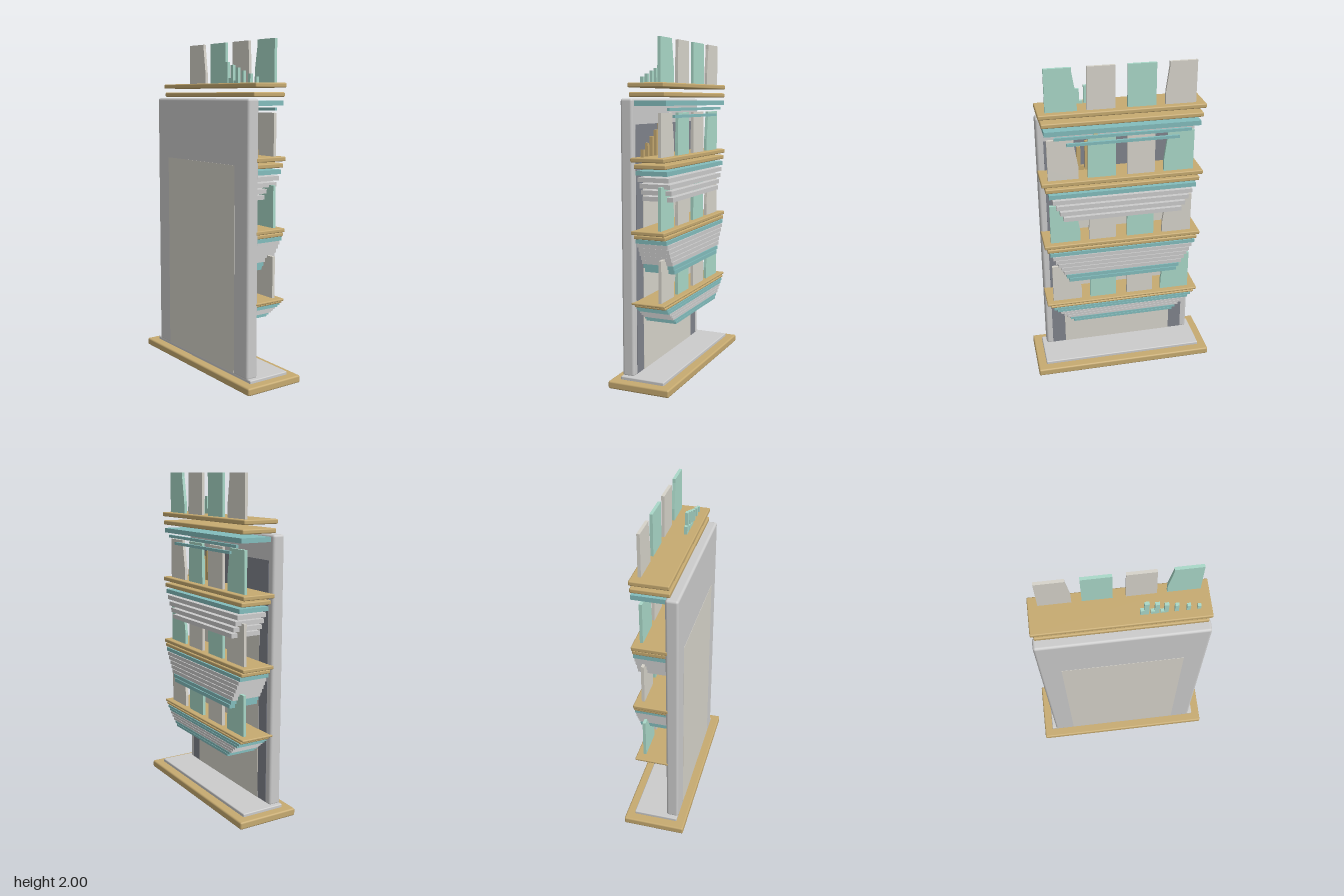
import * as THREE from 'three';
import { RoundedBoxGeometry } from 'three/addons/geometries/RoundedBoxGeometry.js';

const mat = (color) => new THREE.MeshStandardMaterial({ color });
const gold = mat(0xc6aa70), teal = mat(0x83bdbd), mint = mat(0xa9d8c8);
const beige = mat(0xd6d3ca), grey = mat(0xcccccc), dark = mat(0x80838c);

// Box given by its lower and upper corners, with an optional edge radius
function slab(name, material, [x0, y0, z0], [x1, y1, z1], radius = 0) {
  const size = [x1 - x0, y1 - y0, z1 - z0];
  const geometry = radius
    ? new RoundedBoxGeometry(...size, 2, radius)
    : new THREE.BoxGeometry(...size);
  const mesh = new THREE.Mesh(geometry, material);
  mesh.position.set((x0 + x1) / 2, (y0 + y1) / 2, (z0 + z1) / 2);
  mesh.name = name;
  return mesh;
}

// Upright leaflet: bottom edge x0..x1, top edge t0..t1
function leaflet(material, [x0, x1, t0, t1], y, height) {
  const shape = new THREE.Shape();
  shape.moveTo(x0, 0);
  shape.lineTo(x1, 0);
  shape.lineTo(x1, height * 0.3);
  shape.lineTo(t1, height * 0.9);
  shape.lineTo(t1, height);
  shape.lineTo(t0, height);
  shape.lineTo(t0, height * 0.9);
  shape.lineTo(x0, height * 0.3);
  const mesh = new THREE.Mesh(
    new THREE.ExtrudeGeometry(shape, { depth: 0.018, bevelEnabled: false }), material);
  mesh.position.set(0, y, -0.092);
  mesh.name = 'leaflet';
  return mesh;
}

// Row of four leaflets in alternating colours
function leafletRow(y, firstIsMint) {
  const row = new THREE.Group();
  row.name = 'leafletRow';
  const outlines = [
    [-0.43, -0.25, -0.43, -0.27], [-0.195, -0.03, -0.195, -0.03],
    [0.04, 0.205, 0.04, 0.2], [0.26, 0.44, 0.285, 0.44],
  ];
  outlines.forEach((o, i) =>
    row.add(leaflet((i % 2 === 0) === firstIsMint ? mint : beige, o, y, 0.25)));
  return row;
}

// Six slim sticks that get shorter towards the left side
function sticks(material, y, tallest, shortest) {
  const group = new THREE.Group();
  group.name = 'sticks';
  [0.135, 0.19, 0.24, 0.295, 0.358, 0.415].forEach((x, i) => {
    const h = THREE.MathUtils.lerp(tallest, shortest, i / 5);
    const w = 0.013 - i * 0.0008;
    group.add(slab('stick', material, [x - w, y, 0.024], [x + w, y + h, 0.042]));
    if (i < 3) {
      group.add(slab('stickFoot', material,
        [x - w - 0.02, y, 0.024], [x - w, y + h * (0.4 - i * 0.1), 0.042]));
    }
  });
  return group;
}

// Stack of plates that narrows downwards, with wider boards on top
function tray({ top, pitch, thickness, bottomHalf, layers }) {
  const group = new THREE.Group();
  group.name = 'tray';
  layers.forEach((material, i) => {
    const half = THREE.MathUtils.lerp(0.483, bottomHalf, i / (layers.length - 1));
    const y = top - i * pitch;
    const board = material === gold;
    group.add(slab(board ? 'shelfBoard' : 'trayPlate', material,
      [-half, y - thickness, -0.13], [half, y, board ? 0.08 : 0.066], board ? 0.006 : 0));
  });
  return group;
}

export function createModel() {
  const model = new THREE.Group();
  model.name = 'leafletStand';

  // Base
  model.add(slab('base', gold, [-0.565, 0, -0.192], [0.565, 0.045, 0.192], 0.01));
  model.add(slab('basePlate', grey, [-0.51, 0.04, -0.137], [0.51, 0.064, 0.137], 0.006));

  // Upright panel with thin inlays on both faces
  model.add(slab('panel', grey, [-0.482, 0.055, 0.065], [0.482, 1.665, 0.14], 0.015));
  model.add(slab('frontInlay', beige, [-0.355, 0.066, 0.138], [0.355, 1.29, 0.1415]));
  model.add(slab('backBorder', dark, [-0.44, 0.066, 0.063], [0.44, 1.52, 0.067]));
  model.add(slab('backInlay', beige, [-0.355, 0.066, 0.061], [0.355, 1.3, 0.066]));

  // Top boards and the slim rails below them
  model.add(slab('topBoard', gold, [-0.485, 1.725, -0.13], [0.485, 1.752, 0.092], 0.007));
  model.add(slab('topBoard', gold, [-0.47, 1.673, -0.13], [0.47, 1.7, 0.092], 0.007));
  model.add(slab('topTray', teal, [-0.455, 1.624, -0.13], [0.455, 1.652, 0.066]));
  [[0.4, 1.595], [0.33, 1.555]].forEach(([half, y]) =>
    model.add(slab('rail', teal, [-half, y, -0.128], [half, y + 0.017, -0.113])));

  // Stepped trays
  const trays = [
    { top: 1.336, pitch: 0.0385, thickness: 0.026, bottomHalf: 0.36,
      layers: [gold, gold, teal, grey, grey, grey, grey] },
    { top: 0.921, pitch: 0.0268, thickness: 0.023, bottomHalf: 0.34,
      layers: [gold, gold, teal, grey, grey, grey, grey, grey, teal, teal] },
    { top: 0.503, pitch: 0.0165, thickness: 0.0145, bottomHalf: 0.32,
      layers: [gold, gold, teal, teal, grey, grey, grey, teal, teal] },
  ];
  trays.forEach((t) => model.add(tray(t)));

  // Leaflets standing on every level
  [1.75, 1.334, 0.919, 0.501].forEach((y, i) => model.add(leafletRow(y, i % 2 === 1)));

  // Sticks on the upper two levels
  model.add(sticks(mint, 1.75, 0.125, 0.035));
  model.add(sticks(gold, 1.334, 0.22, 0.045));
  return model;
}
